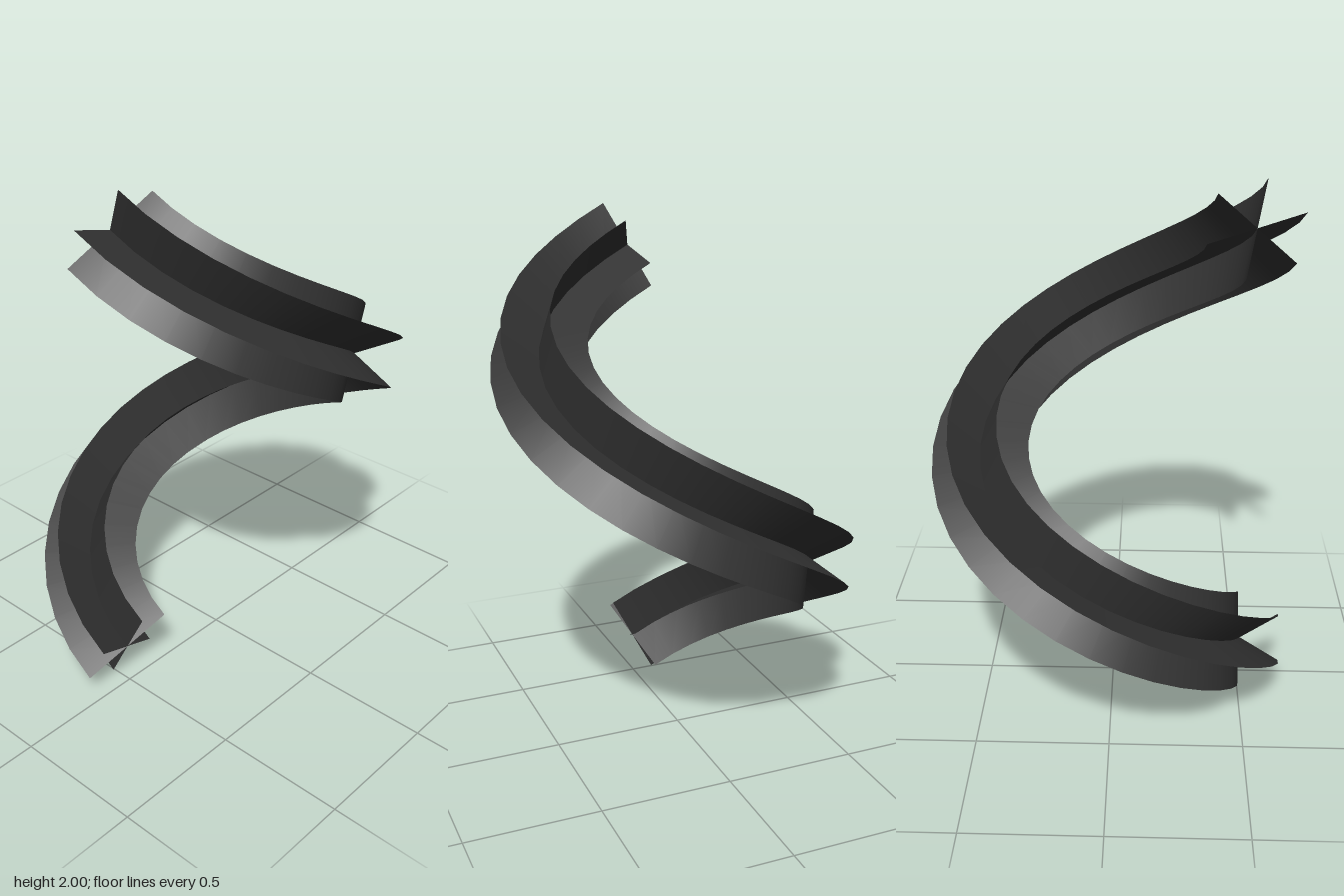
import * as THREE from 'three';
import { ParametricGeometry } from 'three/addons/geometries/ParametricGeometry.js';

const RADIUS = 0.505;   // helix radius
const RISE = 1.678;     // height gained in the single turn
const BASE = 0.164;     // height of the axis at its lower end
const FIN = 0.185;      // half width of each ribbon
const SEGMENTS = 32;

// Pitch angle of the helix, and the twist a non-rotating frame gathers per turn
const pitch = Math.atan2(RISE, 2 * Math.PI * RADIUS);
const TWIST = 2 * Math.PI * Math.sin(pitch);

// One flat ribbon through the helix axis, at the given angle in the cross-section
function ribbonGeometry(angle) {
  const outward = new THREE.Vector3();
  const upward = new THREE.Vector3();
  const surface = (across, along, target) => {
    const t = along * 2 * Math.PI;
    outward.set(-Math.cos(t), 0, -Math.sin(t));
    upward.set(
      -Math.sin(t) * Math.sin(pitch),
      Math.cos(pitch),
      Math.cos(t) * Math.sin(pitch)
    );
    const a = angle + TWIST * along;
    const w = (across * 2 - 1) * FIN;
    target.copy(outward).multiplyScalar(RADIUS + w * Math.cos(a));
    target.addScaledVector(upward, w * Math.sin(a));
    target.y += BASE + RISE * along;
  };
  return new ParametricGeometry(surface, 2, SEGMENTS);
}

export function createModel() {
  const group = new THREE.Group();
  group.name = 'starHelix';
  const material = new THREE.MeshStandardMaterial({ color: 0x333333, side: THREE.DoubleSide });

  // Three crossed ribbons form the six-pointed section
  for (let i = 0; i < 3; i++) {
    const ribbon = new THREE.Mesh(ribbonGeometry(Math.PI / 2 + (i * Math.PI) / 3), material);
    ribbon.name = `ribbon${i + 1}`;
    group.add(ribbon);
  }
  return group;
}
